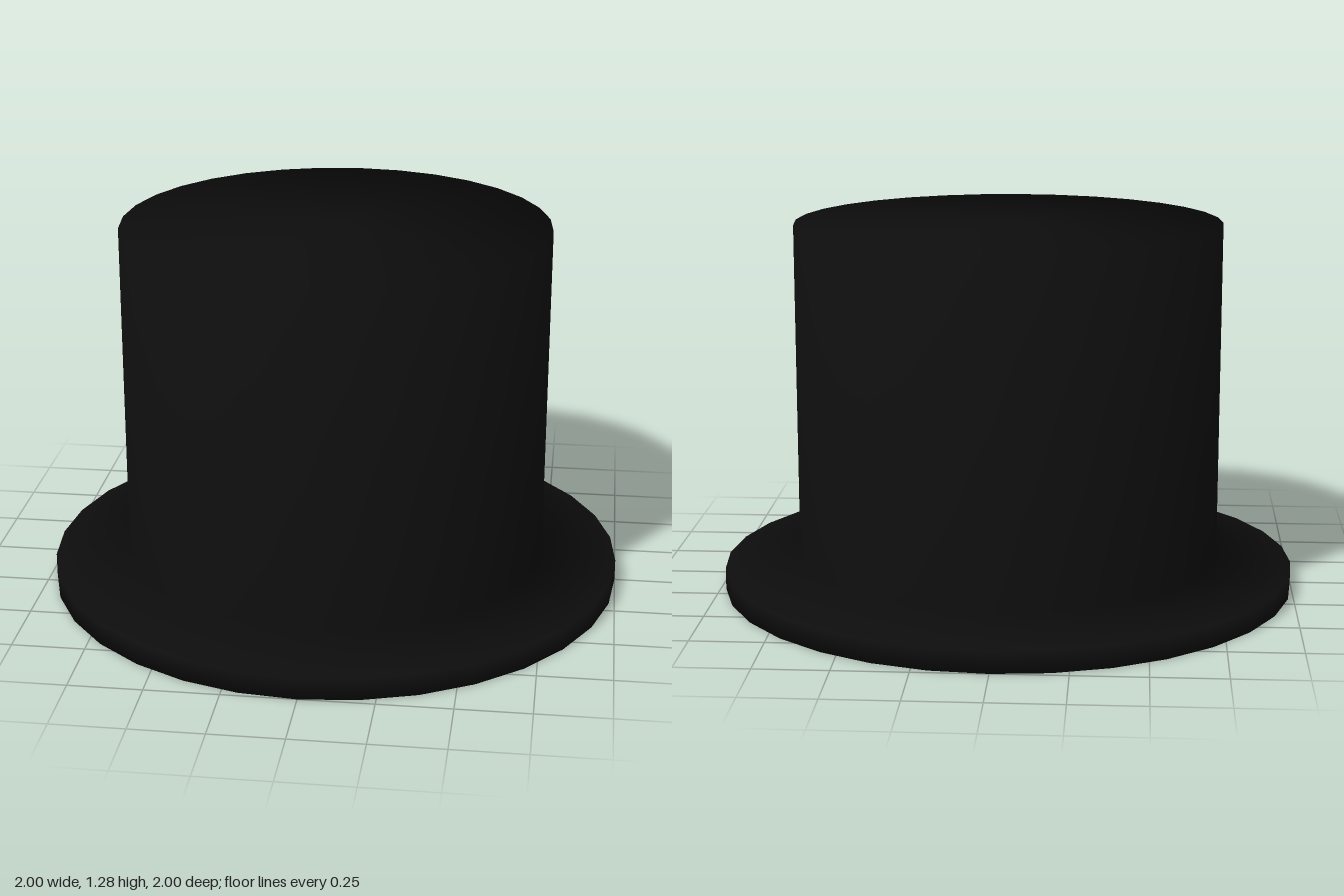
import * as THREE from 'three';

export function createModel() {
  const group = new THREE.Group();
  group.name = 'topHat';

  // Closed silhouette: underside, brim edge, sloped brim, crown wall, flat top
  const profile = [
    [0, 0],
    [1, 0],
    [1, 0.075],
    [0.738, 0.11],
    [0.738, 1.28],
    [0, 1.28],
  ].map(([r, y]) => new THREE.Vector2(r, y));

  // Brim and crown are one continuous smooth-shaded 32-sided shell
  const hat = new THREE.Mesh(
    new THREE.LatheGeometry(profile, 32),
    new THREE.MeshStandardMaterial({ color: 0x0d0d0d })
  );
  hat.name = 'brimAndCrown';
  group.add(hat);

  return group;
}
